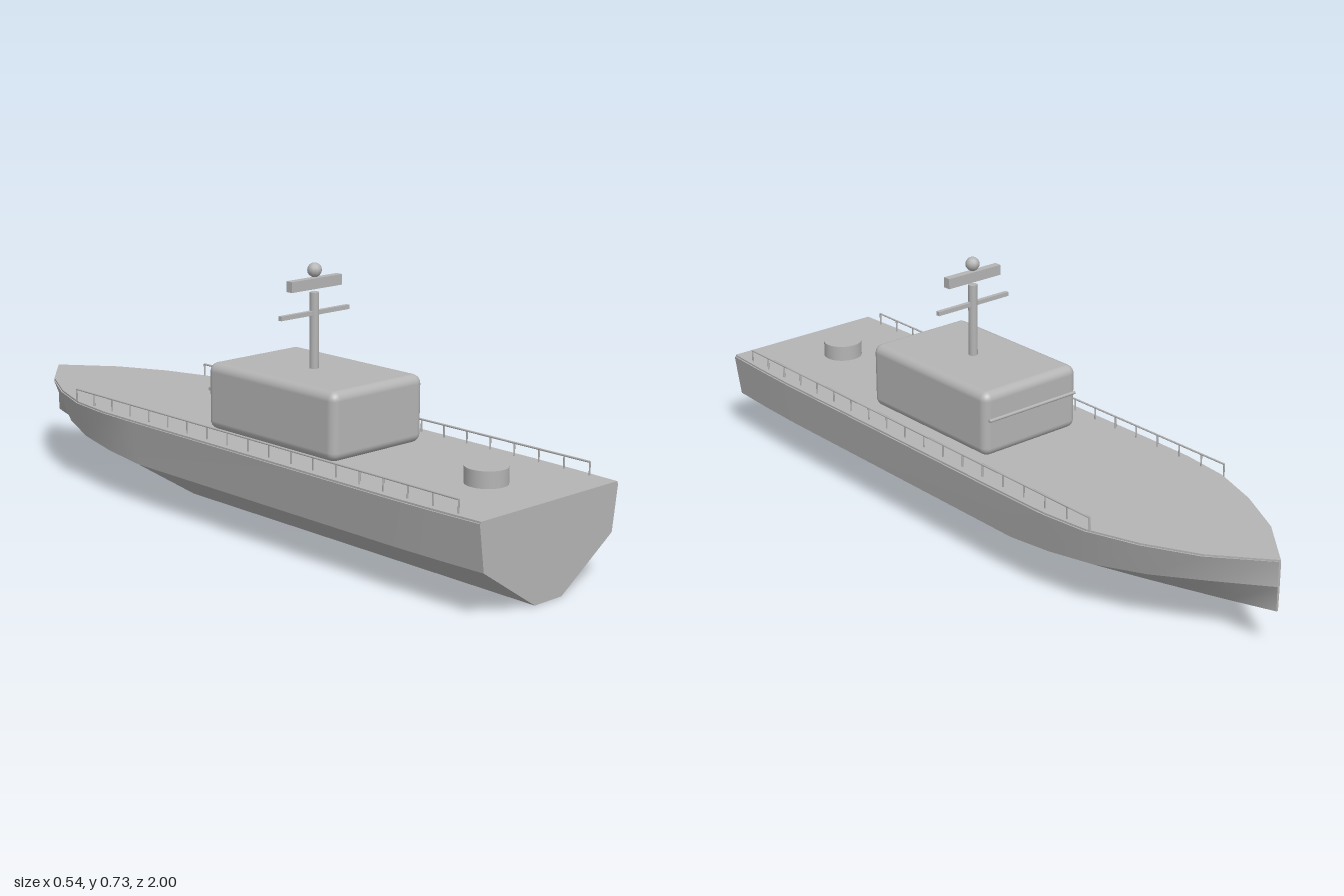
import * as THREE from 'three';
import { mergeGeometries } from 'three/addons/utils/BufferGeometryUtils.js';
import { RoundedBoxGeometry } from 'three/addons/geometries/RoundedBoxGeometry.js';

const grey = new THREE.MeshStandardMaterial({ color: 0xb4b4b4 });
grey.name = 'grey paint';

const DECK = 0.255;

// Hull stations from stern to bow: z, deck half width, chine half width, chine y, keel half width, keel y
const STATIONS = [
  [1, 0.257, 0.239, 0.125, 0.05, 0],
  [0.857, 0.264, 0.246, 0.125, 0.05, 0],
  [0.714, 0.268, 0.25, 0.125, 0.05, 0],
  [-0.286, 0.269, 0.25, 0.125, 0.05, 0],
  [-0.429, 0.267, 0.243, 0.136, 0.046, 0.023],
  [-0.571, 0.25, 0.22, 0.147, 0.04, 0.045],
  [-0.714, 0.2, 0.168, 0.158, 0.03, 0.068],
  [-0.857, 0.125, 0.09, 0.17, 0.017, 0.09],
  [-1, 0.004, 0.004, 0.181, 0.003, 0.113],
];

// Cross-section running from the left gunwale under the keel to the right gunwale
function section([z, deckW, chineW, chineY, keelW, keelY]) {
  const half = [[deckW, 0.25], [chineW, chineY], [keelW, keelY]];
  const other = half.map(([x, y]) => [-x, y]).reverse();
  return [...half, ...other].map(([x, y]) => new THREE.Vector3(x, y, z));
}

// One smooth strip per hull panel keeps the chines sharp
function hullGeometry() {
  const rings = STATIONS.map(section);
  const n = rings[0].length;
  const parts = [];
  for (let i = 0; i < n; i++) {
    const points = rings.flatMap((r) => [r[i], r[(i + 1) % n]]);
    const index = [];
    for (let s = 0; s < rings.length - 1; s++) {
      const a = s * 2;
      index.push(a, a + 1, a + 2, a + 1, a + 3, a + 2);
    }
    const strip = new THREE.BufferGeometry().setFromPoints(points);
    strip.setIndex(index);
    strip.computeVertexNormals();
    parts.push(strip);
  }
  // Transom and stem end faces
  for (const [ring, turn, z] of [[rings[0], 0, 1], [rings[rings.length - 1], Math.PI, -1]]) {
    const cap = new THREE.ShapeGeometry(new THREE.Shape(ring.map((p) => new THREE.Vector2(p.x, p.y))));
    cap.rotateY(turn).translate(0, 0, z);
    cap.deleteAttribute('uv');
    parts.push(cap);
  }
  return mergeGeometries(parts);
}

// Thin deck plate following the gunwale, slightly inset
function deckGeometry() {
  const side = STATIONS.map(([z, w]) => new THREE.Vector2(Math.max(w - 0.004, 0.002), -z));
  const mirror = side.map((p) => new THREE.Vector2(-p.x, p.y)).reverse();
  const geo = new THREE.ExtrudeGeometry(new THREE.Shape([...side, ...mirror]), { depth: 0.005, bevelEnabled: false });
  return geo.rotateX(-Math.PI / 2).translate(0, 0.25, 0);
}

export function createModel() {
  const model = new THREE.Group();
  model.name = 'patrolBoat';

  const add = (name, geometry, x = 0, y = 0, z = 0, parent = model) => {
    const mesh = new THREE.Mesh(geometry, grey);
    mesh.name = name;
    mesh.position.set(x, y, z);
    parent.add(mesh);
    return mesh;
  };

  add('hull', hullGeometry());
  add('deck', deckGeometry());

  // Wheelhouse with a handrail across its forward face
  add('cabin', new RoundedBoxGeometry(0.334, 0.187, 0.5, 3, 0.025), 0, 0.3485, 0.165);
  const handrail = new THREE.CylinderGeometry(0.005, 0.005, 0.31, 8).rotateZ(Math.PI / 2);
  add('cabinHandrail', handrail, 0, 0.364, -0.088);

  // Mast with yard, radar bar and dome
  const mast = new THREE.Group();
  mast.name = 'mastGroup';
  mast.position.z = 0.165;
  model.add(mast);
  add('mast', new THREE.CylinderGeometry(0.013, 0.013, 0.215, 12), 0, 0.5425, 0, mast);
  add('yard', new THREE.BoxGeometry(0.25, 0.012, 0.012), 0, 0.594, 0, mast);
  add('radarBar', new THREE.BoxGeometry(0.184, 0.029, 0.022), 0, 0.6745, 0, mast);
  add('mastDome', new THREE.SphereGeometry(0.02, 10, 8), 0, 0.71, 0, mast);

  // Round hatch on the aft deck
  add('aftDrum', new THREE.CylinderGeometry(0.057, 0.057, 0.045, 24), 0, DECK + 0.0225, 0.79);

  // Side railings: a top rail on evenly spaced posts
  const first = 0.92, last = -0.58, posts = 19;
  for (const side of [1, -1]) {
    const railing = new THREE.Group();
    railing.name = side > 0 ? 'leftRailing' : 'rightRailing';
    railing.position.x = side * 0.243;
    model.add(railing);
    const bar = new THREE.CylinderGeometry(0.003, 0.003, first - last, 6).rotateX(Math.PI / 2);
    add('topRail', bar, 0, 0.29, (first + last) / 2, railing);
    const post = new THREE.CylinderGeometry(0.0025, 0.0025, 0.037, 6);
    for (let i = 0; i < posts; i++) {
      add('railPost', post, 0, DECK + 0.0175, first + ((last - first) * i) / (posts - 1), railing);
    }
  }

  return model;
}
